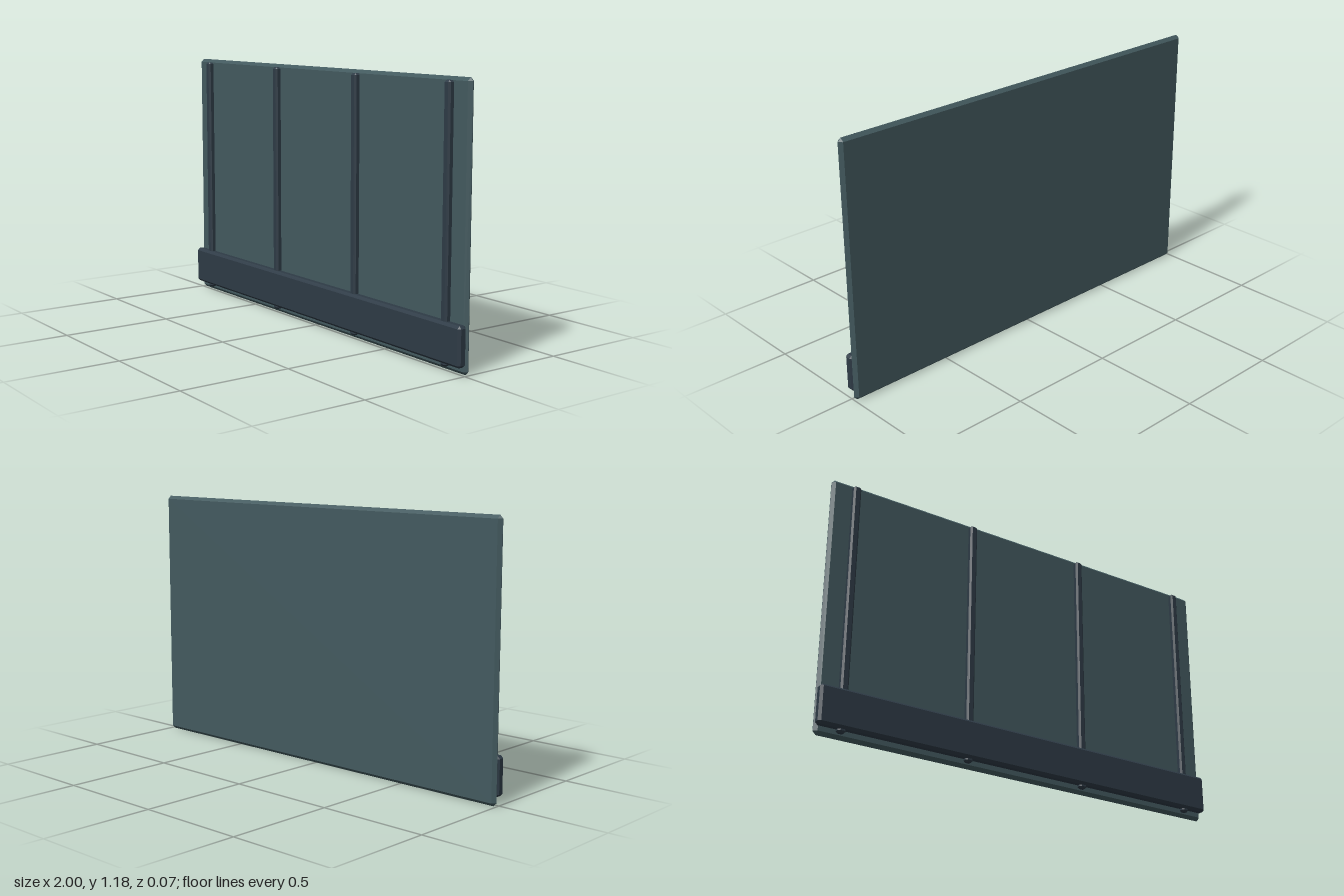
import * as THREE from 'three';
import { ConvexGeometry } from 'three/addons/geometries/ConvexGeometry.js';

// Box with all edges chamfered by c, given by its min and max corners
function chamferBox(min, max, c) {
  const half = min.map((v, i) => (max[i] - v) / 2);
  const mid = min.map((v, i) => (max[i] + v) / 2);
  const points = [];
  for (const sx of [-1, 1]) for (const sy of [-1, 1]) for (const sz of [-1, 1]) {
    const s = [sx, sy, sz];
    for (let axis = 0; axis < 3; axis++) {
      // each corner becomes three points, one on each adjoining face
      points.push(new THREE.Vector3(...s.map((k, i) =>
        mid[i] + k * (half[i] - (i === axis ? 0 : c)))));
    }
  }
  return new ConvexGeometry(points);
}

export function createModel() {
  const group = new THREE.Group();
  const panelMaterial = new THREE.MeshStandardMaterial({ color: 0x435a5f });
  panelMaterial.name = 'slate teal';
  const trimMaterial = new THREE.MeshStandardMaterial({ color: 0x2e3b46 });
  trimMaterial.name = 'dark slate';

  const add = (name, material, min, max, chamfer) => {
    const mesh = new THREE.Mesh(chamferBox(min, max, chamfer), material);
    mesh.name = name;
    group.add(mesh);
  };

  // Wall slab, its rim chamfered almost to a point
  add('wallPanel', panelMaterial, [-1, 0, -0.033], [1, 1.177, -0.002], 0.0145);

  // Upright battens
  [-0.89, -0.297, 0.297, 0.89].forEach((x, i) =>
    add(`batten${i + 1}`, trimMaterial, [x - 0.018, 0.02, -0.014], [x + 0.018, 1.163, 0.022], 0.008));

  // Skirting rail across the foot
  add('baseRail', trimMaterial, [-1, 0.035, -0.011], [1, 0.206, 0.033], 0.011);

  return group;
}
